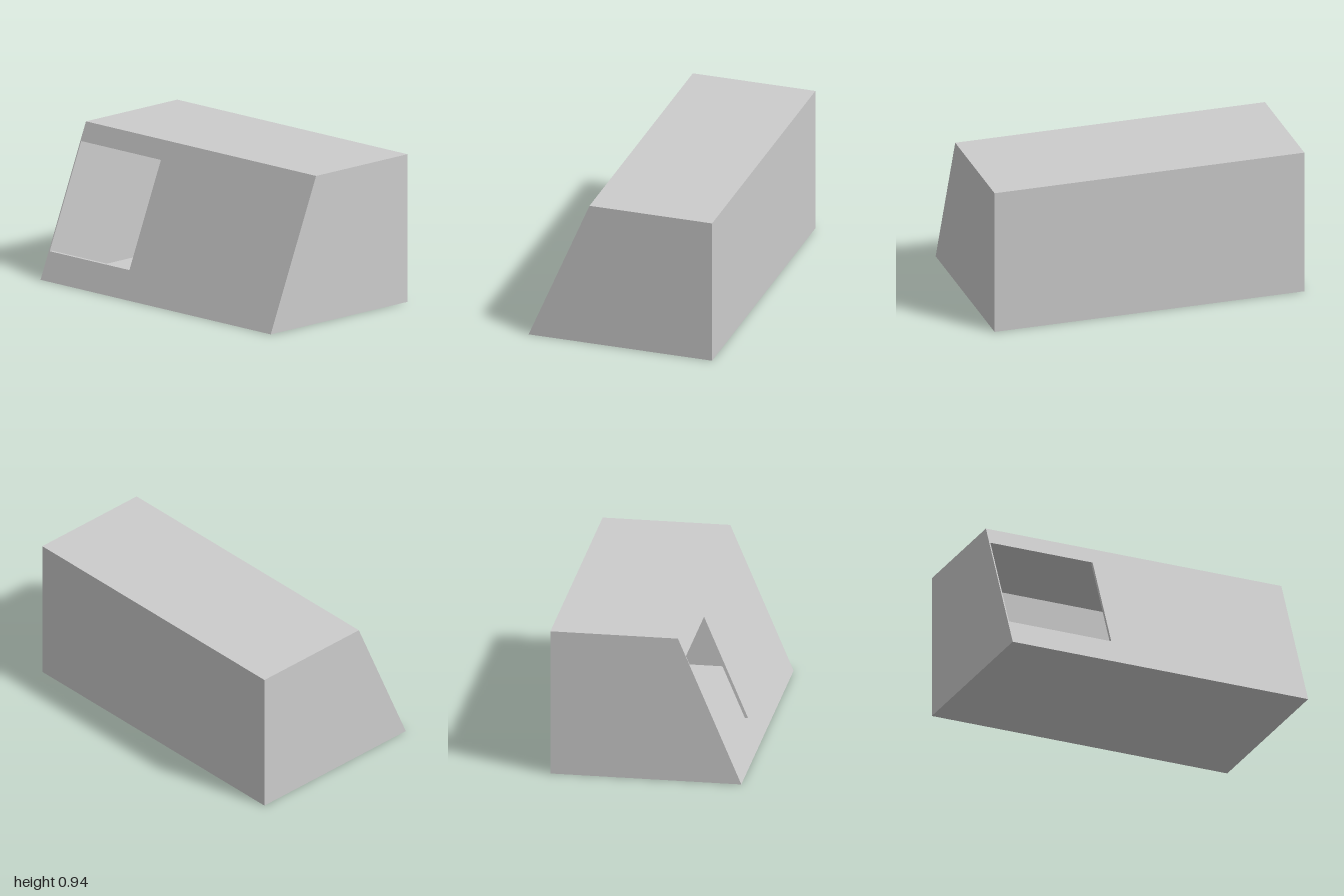
import * as THREE from 'three';

const W = 1, H = 0.935, ZB = -0.595, ZTOP = 0.2, ZBOT = 0.595;
const T = 0.008; // wall thickness
const FRONT = 0.02; // front panel thickness along z

const shapeOf = (pts) => new THREE.Shape(pts.map(([x, y]) => new THREE.Vector2(x, y)));
const extrude = (pts, depth) =>
  new THREE.ExtrudeGeometry(shapeOf(pts), { depth, bevelEnabled: false });

export function createModel() {
  const group = new THREE.Group();
  const grey = new THREE.MeshStandardMaterial({ color: 0xcccccc });
  grey.name = 'light grey';

  const add = (name, geometry) => {
    const mesh = new THREE.Mesh(geometry, grey);
    mesh.name = name;
    group.add(mesh);
    return mesh;
  };

  // Two end walls with the sloped profile (shape x is -z)
  const profile = [[-ZBOT, 0], [-ZB, 0], [-ZB, H], [-ZTOP, H]];
  for (const [name, x] of [['rightEndWall', -W], ['leftEndWall', W - T]]) {
    add(name, extrude(profile, T).rotateY(Math.PI / 2)).position.x = x;
  }

  // Thin floor, roof and back wall between the ends
  const inner = W - T;
  const slab = (name, y0, y1, z0, z1) =>
    add(name, new THREE.BoxGeometry(2 * inner, y1 - y0, z1 - z0))
      .position.set(0, (y0 + y1) / 2, (z0 + z1) / 2);
  slab('floor', 0, 0.005, ZB, ZBOT - FRONT);
  slab('roof', H - T, H, ZB, ZTOP - FRONT + 0.004);
  slab('backWall', 0.005, H - T, ZB, ZB + T);

  // Front panel with a rectangular opening against the right end, sheared to the slope
  const front = extrude([
    [-inner, 0], [inner, 0], [inner, H], [-inner, H],
    [-inner, 0.82], [-0.3, 0.82], [-0.3, 0.17], [-inner, 0.17],
  ], FRONT);
  const pos = front.attributes.position;
  for (let i = 0; i < pos.count; i++) {
    const slope = ZBOT + (ZTOP - ZBOT) * pos.getY(i) / H;
    pos.setZ(i, pos.getZ(i) - FRONT + slope);
  }
  front.computeVertexNormals();
  add('slopedFrontPanel', front);

  return group;
}
